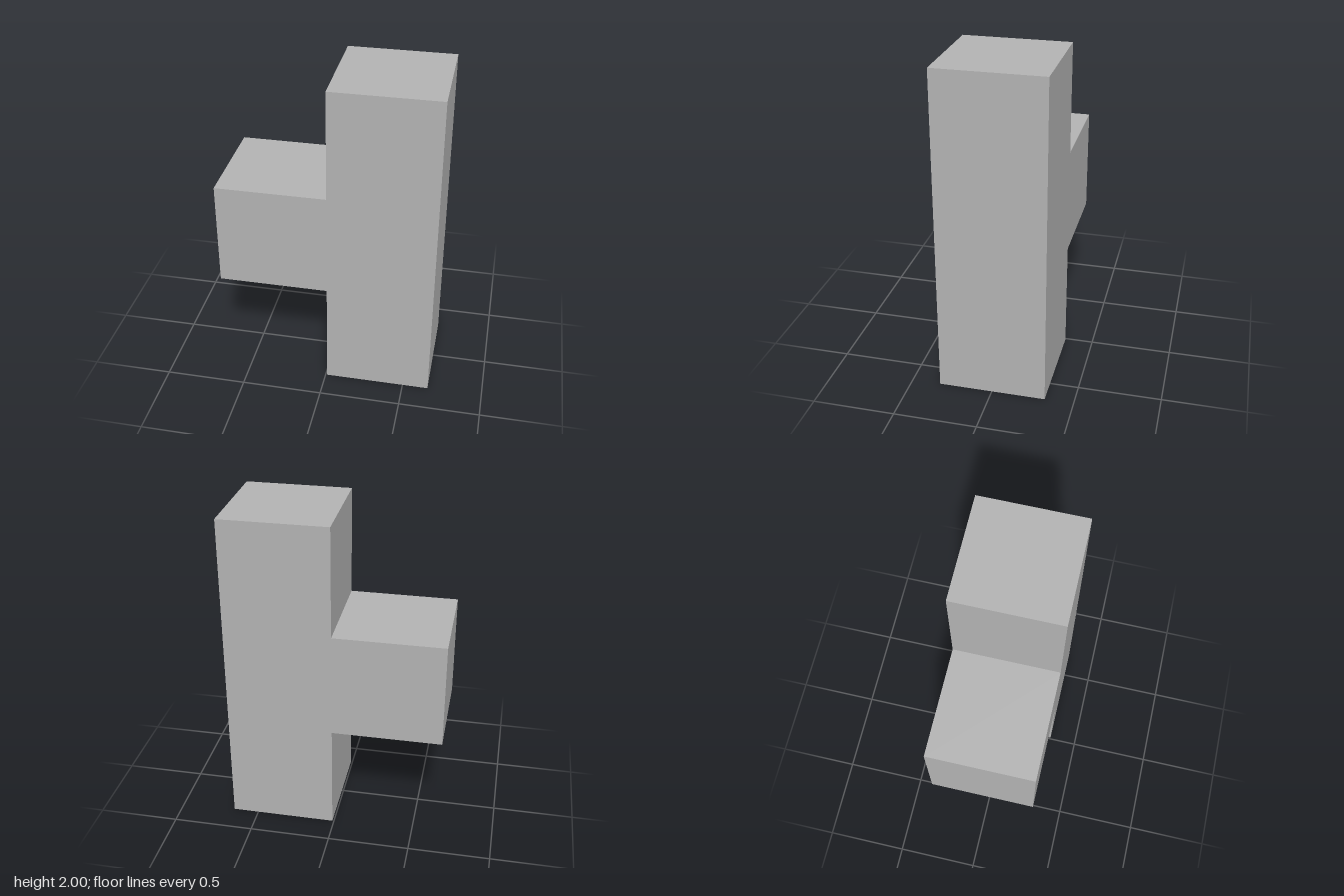
import * as THREE from 'three';

export function createModel() {
  const group = new THREE.Group();
  const grey = new THREE.MeshStandardMaterial({ color: 0xb2b2b2 });
  grey.name = 'grey';

  // Sideways T outline: tall post on the left, stub arm at mid height on the right
  const depth = 0.65;
  const outline = new THREE.Shape([
    [0.01, 0], [0.66, 0], [0.66, 2], [0.01, 2],
    [0.01, 1.325], [-0.66, 1.325], [-0.66, 0.675], [0.01, 0.675],
  ].map(([x, y]) => new THREE.Vector2(x, y)));

  // One solid, so post and arm share flush front and back faces
  const geometry = new THREE.ExtrudeGeometry(outline, { depth, bevelEnabled: false });
  geometry.translate(0, 0, -depth / 2);
  const block = new THREE.Mesh(geometry, grey);
  block.name = 'teeBlock';
  group.add(block);
  return group;
}
